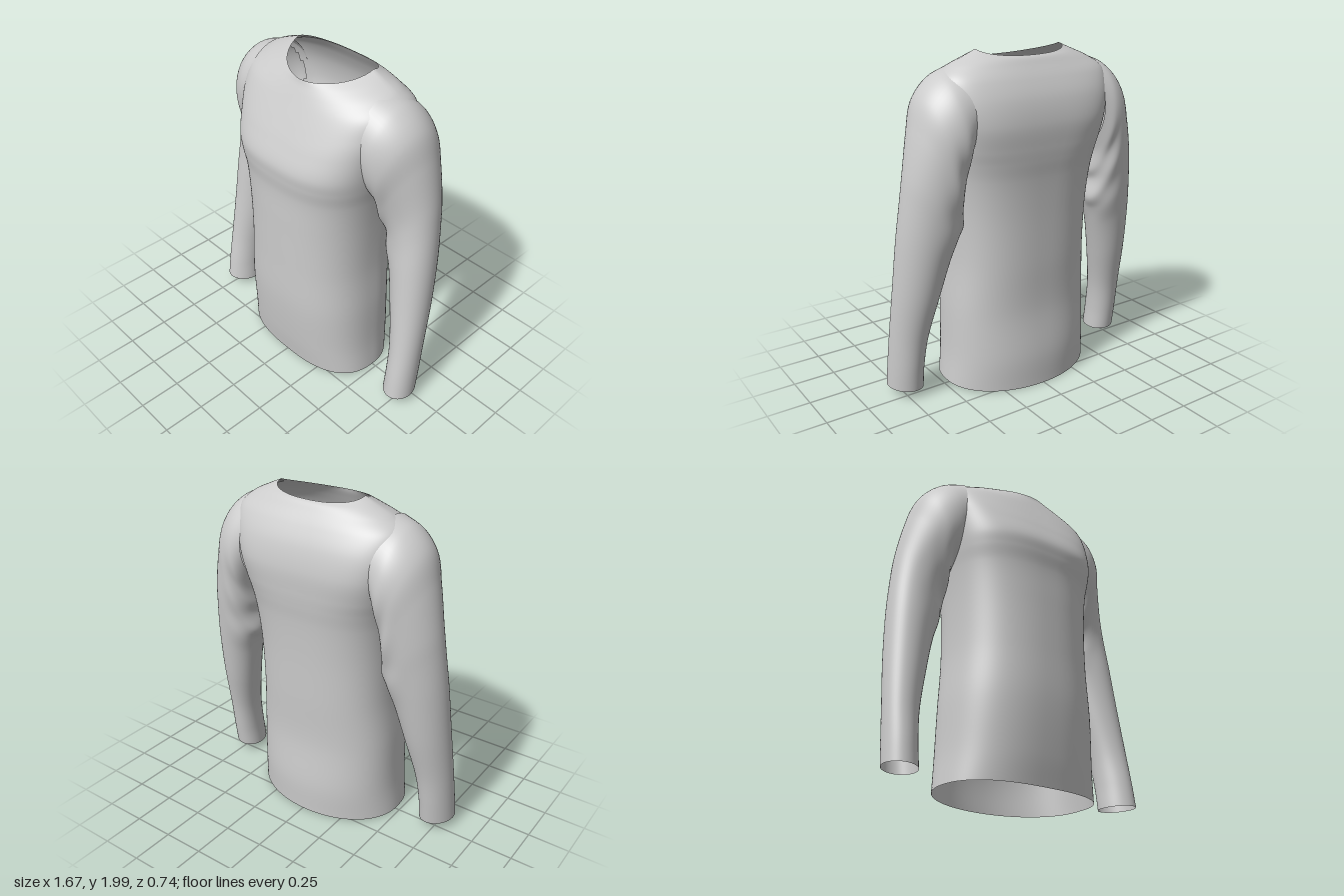
import * as THREE from 'three';

const material = new THREE.MeshStandardMaterial({ color: 0xcccccc, side: THREE.DoubleSide });

// Skins rings of points (bottom to top) with a smooth closed tube; keep() may cut openings.
function loft(name, rings, rows, keep = () => true) {
  const cols = rings[0].length;
  const pos = [], index = [];
  const columns = rings[0].map((_, j) => new THREE.CatmullRomCurve3(rings.map(r => r[j])));
  for (let i = 0; i <= rows; i++)
    for (const c of columns) pos.push(...c.getPoint(i / rows).toArray());
  for (let i = 0; i < rows; i++)
    for (let j = 0; j < cols; j++) {
      const a = i * cols + j, b = i * cols + (j + 1) % cols, c = a + cols, d = b + cols;
      if (keep(pos[3 * a], pos[3 * a + 1], pos[3 * a + 2])) index.push(a, c, b, b, c, d);
    }
  const geo = new THREE.BufferGeometry();
  geo.setAttribute('position', new THREE.Float32BufferAttribute(pos, 3));
  geo.setIndex(index);
  geo.computeVertexNormals();
  const mesh = new THREE.Mesh(geo, material);
  mesh.name = name;
  return mesh;
}

const signedPow = (v, p) => Math.sign(v) * Math.abs(v) ** p;

// Torso rings: y front, y side, y back, half width, z front, z back, widest z, roundness front, back
const torsoRings = [
  [0.025, 0.025, 0.01, 0.48, 0.31, -0.33, 0, 2.6, 2.05],
  [0.2, 0.2, 0.2, 0.463, 0.335, -0.335, 0, 2.5, 2.2],
  [0.5, 0.5, 0.5, 0.45, 0.36, -0.315, 0, 2.45, 2.4],
  [0.8, 0.8, 0.8, 0.43, 0.36, -0.325, 0, 2.4, 2.5],
  [1.1, 1.1, 1.1, 0.435, 0.358, -0.335, 0, 2.4, 2.6],
  [1.3, 1.3, 1.3, 0.452, 0.358, -0.348, 0, 2.5, 2.8],
  [1.4, 1.4, 1.4, 0.468, 0.369, -0.36, 0, 2.6, 3],
  [1.48, 1.48, 1.48, 0.48, 0.37, -0.367, -0.01, 2.7, 3.3],
  [1.6, 1.62, 1.61, 0.5, 0.325, -0.37, -0.03, 2.8, 3.7],
  [1.7, 1.75, 1.74, 0.525, 0.278, -0.345, -0.06, 2.7, 3.4],
  [1.8, 1.855, 1.84, 0.525, 0.228, -0.3, -0.08, 2.5, 2.9],
  [1.86, 1.915, 1.91, 0.455, 0.198, -0.255, -0.08, 2.2, 2.5],
  [1.9, 1.96, 1.945, 0.36, 0.178, -0.23, -0.08, 2, 2.4],
  [1.923, 1.995, 1.958, 0.28, 0.17, -0.213, -0.08, 1.8, 2.3],
];

function torsoRing([yF, yS, yB, w, zF, zB, zc, nF, nB]) {
  return Array.from({ length: 96 }, (_, j) => {
    const a = j / 96 * Math.PI * 2, c = Math.cos(a), s = Math.sin(a);
    const p = 2 / (s > 0 ? nF : nB);
    const z = signedPow(s, p) * (s > 0 ? zF - zc : zc - zB);
    const shift = 0.02 * THREE.MathUtils.smoothstep(yS, 1.8, 1.98);
    const y = yS + ((s > 0 ? yF : yB) - yS) * Math.abs(s);
    return new THREE.Vector3(shift + w * signedPow(c, p), y, zc + z);
  });
}

// Sleeve rings from cuff to armhole: outer x, y, inner x, y, z front, z back, fold depth
const sleeveRings = [
  [0.837, 0.07, 0.64, 0.06, 0.16, -0.065, 0],
  [0.835, 0.2, 0.64, 0.2, 0.142, -0.085, 0],
  [0.83, 0.4, 0.625, 0.38, 0.112, -0.115, 0],
  [0.818, 0.7, 0.57, 0.64, 0.08, -0.18, 0],
  [0.8, 1.0, 0.515, 0.86, 0.057, -0.23, 0],
  [0.777, 1.22, 0.475, 0.97, 0.045, -0.26, 0.01],
  [0.756, 1.37, 0.455, 1.06, 0.05, -0.28, -0.015],
  [0.707, 1.6, 0.455, 1.15, 0.09, -0.3, 0.018],
  [0.65, 1.77, 0.45, 1.24, 0.14, -0.318, -0.015],
  [0.55, 1.872, 0.445, 1.32, 0.165, -0.325, 0.01],
  [0.43, 1.92, 0.435, 1.39, 0.168, -0.305, 0],
];

function sleeveRing([xo, yo, xi, yi, zF, zB, fold], side) {
  return Array.from({ length: 56 }, (_, j) => {
    const a = side * j / 56 * Math.PI * 2;
    // folds gather on the inner half only
    const k = 1 + 3 * fold * Math.max(0, -Math.cos(a) + 0.3) * Math.sin(3 * a + 1);
    const c = Math.cos(a) * k / 2, s = Math.sin(a) * k / 2;
    return new THREE.Vector3(
      side * ((xo + xi) / 2 + c * (xo - xi)),
      (yo + yi) / 2 + c * (yo - yi),
      (zF + zB) / 2 + s * (zF - zB) + 0.03 * c);
  });
}

export function createModel() {
  const group = new THREE.Group();
  group.name = 'longSleeveShirt';

  // Body, open at hem and neck, with armholes cut where the sleeves join
  const outsideArmhole = (x, y, z) =>
    Math.abs(x) < 0.44 || ((y - 1.63) / 0.23) ** 2 + ((z + 0.07) / 0.21) ** 2 > 1;
  group.add(loft('torso', torsoRings.map(torsoRing), 120, outsideArmhole));

  // Sleeves
  for (const [name, side] of [['leftSleeve', 1], ['rightSleeve', -1]])
    group.add(loft(name, sleeveRings.map(r => sleeveRing(r, side)), 88));

  return group;
}
